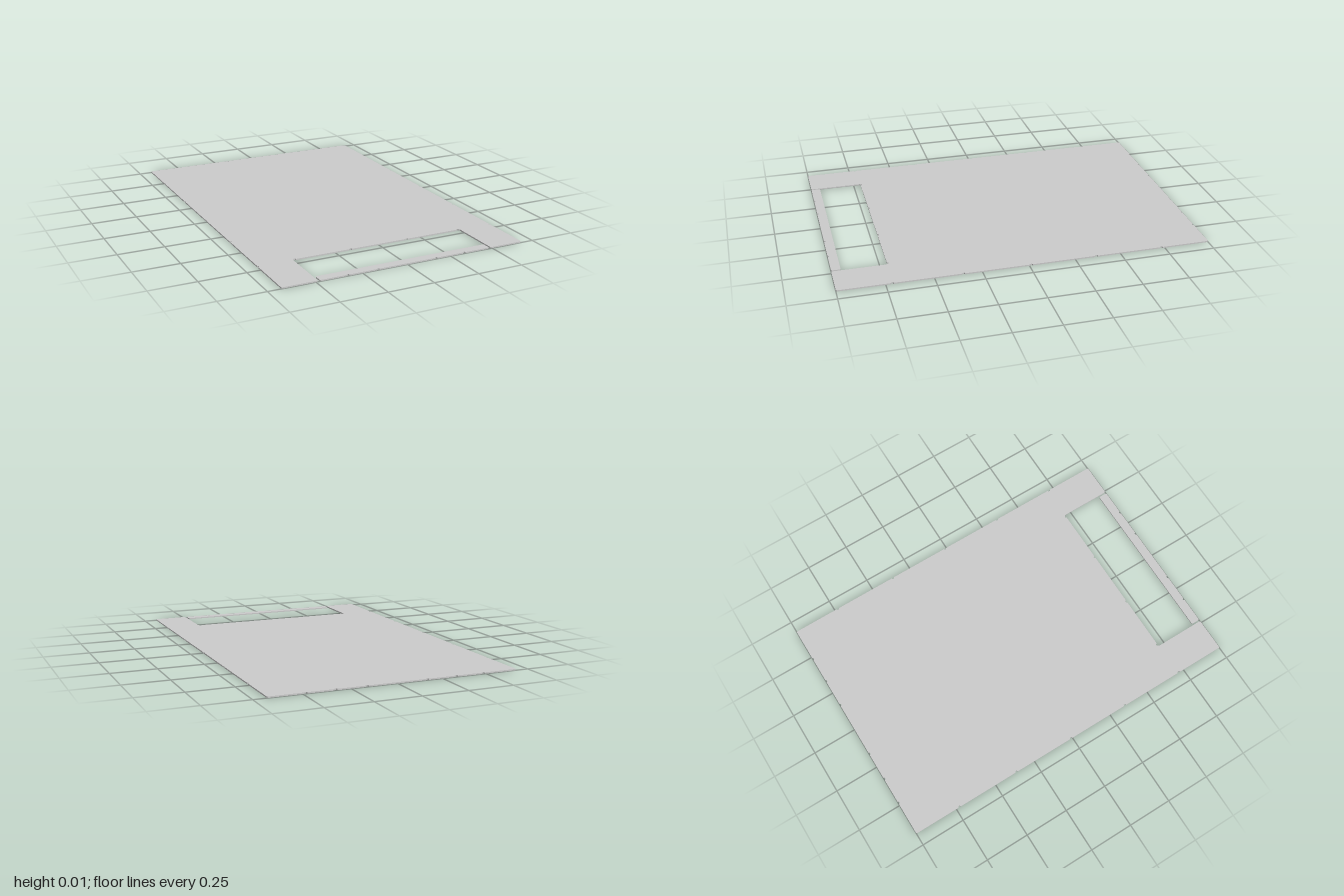
import * as THREE from 'three';

const THICK = 0.007, CHAMFER = 0.005, NOTCH_W = 0.008, NOTCH_D = 0.007;

// Closed outline from [x, z, notches] corners; notches are distances along
// the edge that starts at that corner, cut towards the inside of the plate.
function outline(corners) {
  const pts = [];
  corners.forEach(([x, z, notches = []], i) => {
    const a = new THREE.Vector2(x, -z);
    const next = corners[(i + 1) % corners.length];
    const b = new THREE.Vector2(next[0], -next[1]);
    const dir = b.clone().sub(a);
    const len = dir.length();
    dir.normalize();
    const inward = new THREE.Vector2(-dir.y, dir.x);
    const add = (t, d) => pts.push(a.clone().addScaledVector(dir, t).addScaledVector(inward, d));
    add(CHAMFER, 0);
    for (const t of notches) {
      add(t - NOTCH_W, 0);
      add(t - NOTCH_W / 2, NOTCH_D);
      add(t + NOTCH_W / 2, NOTCH_D);
      add(t + NOTCH_W, 0);
    }
    add(len - CHAMFER, 0);
  });
  return new THREE.Shape(pts);
}

function plate(name, corners, material) {
  const geometry = new THREE.ExtrudeGeometry(outline(corners), { depth: THICK, bevelEnabled: false });
  geometry.rotateX(-Math.PI / 2);
  const mesh = new THREE.Mesh(geometry, material);
  mesh.name = name;
  return mesh;
}

export function createModel() {
  const group = new THREE.Group();
  group.name = 'notchedPanel';
  const material = new THREE.MeshStandardMaterial({ color: 0xcccccc });
  const W = 0.68, IN = 0.49, BACK = 0.71;
  const sideZ = [-0.73, -0.365, -0.01, 0.35, 0.717];
  const backX = [-0.485, -0.33, -0.165, 0.165, 0.33, 0.485];

  // Main panel with two arms around the front opening (counter-clockwise from above)
  group.add(plate('panel', [
    [-W, 1],
    [-IN, 1],
    [-IN, BACK, [0.012, IN - 0.165, IN + 0.165, 2 * IN - 0.012]],
    [IN, BACK],
    [IN, 1],
    [W, 1, sideZ.map((z) => 1 - z).reverse()],
    [W, -1, backX.map((x) => x + W)],
    [-W, -1, sideZ.map((z) => z + 1)],
  ], material));

  // Loose strip closing the front of the opening
  const S = 0.48;
  group.add(plate('frontStrip', [
    [-S, 1, [-0.33, -0.165, 0.165, 0.33].map((x) => x + S)],
    [S, 1],
    [S, 0.95],
    [-S, 0.95],
  ], material));

  return group;
}
